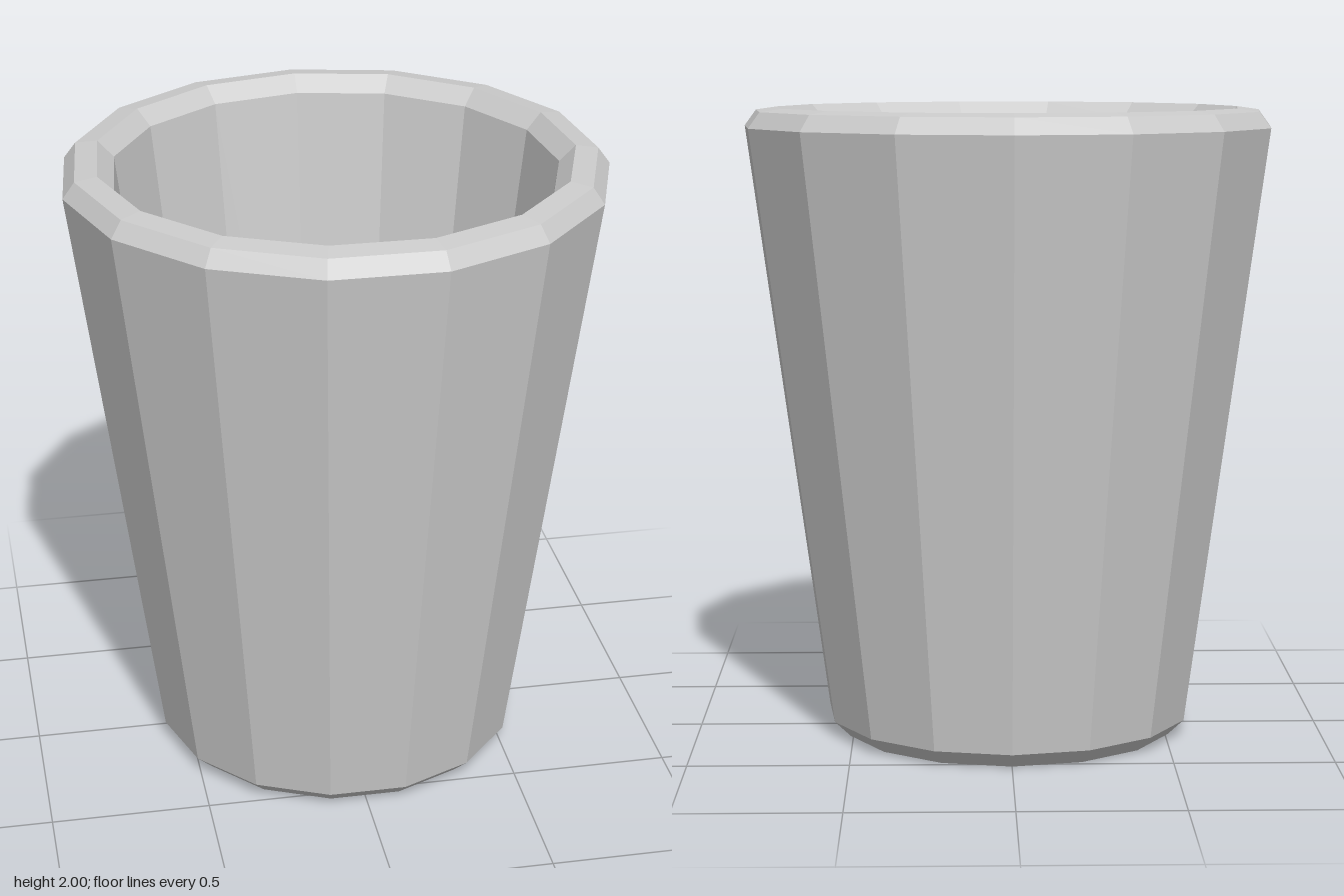
import * as THREE from 'three';

const SIDES = 15;

export function createModel() {
  const group = new THREE.Group();

  // Closed wall section: underside, outer wall, rim, inner wall, inside floor
  const profile = [
    [0, 0], [0.535, 0], [0.587, 0.05],
    [0.845, 1.94], [0.808, 1.99], [0.738, 2],
    [0.688, 1.95], [0.471, 0.16], [0.42, 0.112], [0, 0.112],
  ].map(([r, y]) => new THREE.Vector2(r, y));

  // Faceted tumbler with one corner pointing straight back
  const geometry = new THREE.LatheGeometry(profile, SIDES, Math.PI).toNonIndexed();
  geometry.computeVertexNormals();
  const cup = new THREE.Mesh(
    geometry,
    new THREE.MeshStandardMaterial({ color: 0xcccccc, flatShading: true })
  );
  cup.name = 'cup';

  // An odd number of sides is lopsided in depth, so centre it
  cup.position.z = 0.845 * (1 - Math.cos(Math.PI / SIDES)) / 2;
  group.add(cup);
  return group;
}
